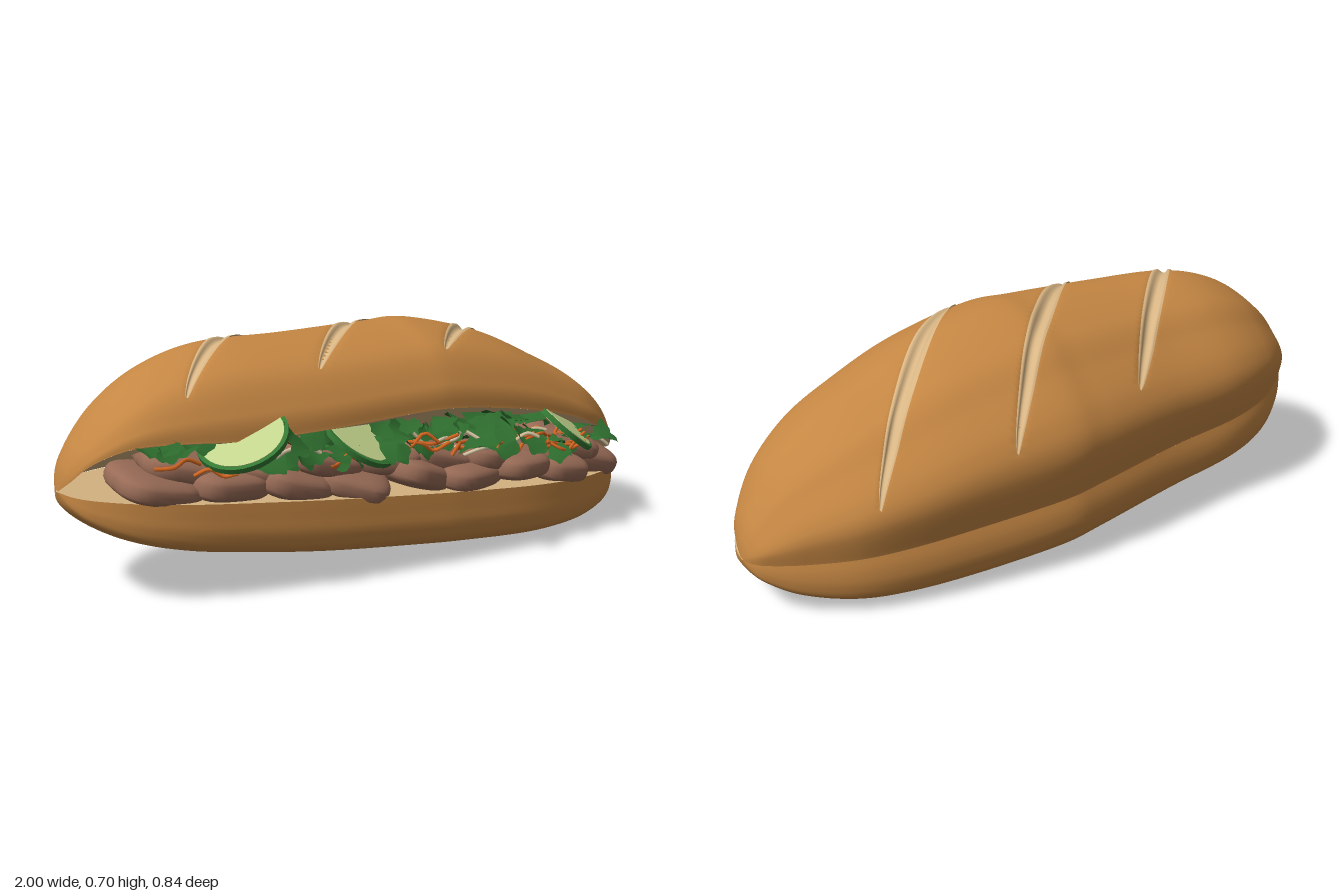
import * as THREE from 'three';

const mat = (name, color, extra = {}) => Object.assign(new THREE.MeshStandardMaterial({ color, ...extra }), { name });
const crust = mat('crust', 0xc48643);
const crumb = mat('crumb', 0xd8b584, { side: THREE.DoubleSide });
const meat = mat('meat', 0x986b56);
const herb = mat('herb', 0x2c692c, { side: THREE.DoubleSide });
const skin = mat('cucumber skin', 0x347a34);
const flesh = mat('cucumber flesh', 0xc4d68e);
const carrot = mat('carrot', 0xdb6a22);
const radish = mat('radish', 0xd9c9a6);

// Loaf stations: x, lip z, back z, lip y, crown y, base front z, base bottom y
const stations = [
  [-1, .025, .015, .306, .308, .025, .304], [-.985, .08, -.04, .34, .375, .1, .262],
  [-.94, .14, -.12, .395, .45, .16, .215], [-.85, .195, -.205, .435, .545, .22, .165],
  [-.72, .235, -.285, .44, .625, .265, .125], [-.55, .27, -.335, .435, .672, .295, .095],
  [-.3, .3, -.355, .445, .68, .325, .062], [0, .305, -.4, .46, .69, .342, .033],
  [.15, .3, -.415, .455, .692, .345, .02], [.4, .275, -.39, .42, .635, .335, .003],
  [.6, .245, -.36, .375, .55, .295, 0], [.75, .21, -.315, .32, .475, .235, .008],
  [.88, .14, -.235, .25, .375, .155, .035], [.96, .055, -.165, .195, .265, .06, .08],
  [.99, -.02, -.12, .17, .2, -.015, .115], [1, -.07, -.08, .146, .148, -.07, .144],
];
const { clamp, lerp } = THREE.MathUtils;

// Catmull-Rom through evenly spaced values, t in 0..1
function spline(v, t) {
  const n = v.length - 1, f = clamp(t, 0, 1) * n, i = Math.min(Math.floor(f), n - 1), k = f - i;
  const b = v[i], c = v[i + 1], a = v[Math.max(i - 1, 0)], d = v[Math.min(i + 2, n)];
  return b + .5 * k * (c - a + k * (2 * a - 5 * b + 4 * c - d + k * (3 * (b - c) + d - a)));
}
const columns = stations[0].map((_, c) => stations.map((r) => r[c]));
const row = (t) => columns.map((c) => spline(c, t));
const seam = (x) => .225 - .08 * x;

// Finds where a monotone function crosses a value
function solve(f, target, lo, hi, rising) {
  for (let i = 0; i < 30; i++) {
    const m = (lo + hi) / 2;
    if ((f(m) < target) === rising) lo = m; else hi = m;
  }
  return (lo + hi) / 2;
}
const stationAt = (x) => solve((t) => spline(columns[0], t), x, 0, 1, true);

// Diagonal slashes on the crown: start and end in x, z
const slashes = [[-.7, .2, -.14, -.345], [-.31, .235, .32, -.39], [.13, .225, .71, -.325]]
  .map(([x0, z0, x1, z1]) => {
    const len = Math.hypot(x1 - x0, z1 - z0);
    return { x0, z0, len, dx: (x1 - x0) / len, dz: (z1 - z0) / len };
  });
const slashWidth = (k) => .029 * Math.sqrt(Math.max(0, Math.sin(Math.PI * k)));
// The groove is narrower than the pale lining, so the lining covers its rims
function grooveDepth(x, z) {
  let depth = 0;
  for (const s of slashes) {
    const px = x - s.x0, pz = z - s.z0;
    const k = (px * s.dx + pz * s.dz) / s.len, w = .66 * slashWidth(k);
    if (k <= 0 || k >= 1 || w < .001) continue;
    const d = Math.abs(px * s.dz - pz * s.dx) / w;
    depth = Math.max(depth, .75 * w * Math.max(0, 1 - d * d));
  }
  return depth;
}

// Crown crust section, running from the front lip over the top to the back seam
const crownU = [1, .98, .86, .58, .3, .155, .04, 0, .04];
const crownZ = (r, s) => lerp(r[2], r[1], spline(crownU, s));
function crown(t, s, lift = 0, groove = 1.4) {
  const r = row(t), x = r[0], ys = seam(x), f = (r[3] - ys) / (r[4] - ys), g = 1 - f;
  const v = spline([f, f + .3 * g, f + .75 * g, 1, .88, .69, .49, .29, 0], s);
  const z = crownZ(r, s), y = ys + v * (r[4] - ys);
  const out = lift - (s < .86 ? groove * grooveDepth(x, z) : 0);
  const cz = (r[1] + r[2]) / 2, cy = ys + .3 * (r[4] - ys), l = Math.hypot(z - cz, y - cy) || 1;
  return [x, y + out * (y - cy) / l, z + out * (z - cz) / l];
}

// Base crust section, running from the back seam under the loaf to the front edge
const baseU = [-.97, -1, -.99, -.89, -.5, 0, .5, .89, .99, 1, 1];
const baseV = [1, .75, .45, .17, .04, 0, .04, .17, .45, .75, 1];
function base(t, s) {
  const r = row(t), x = r[0], back = lerp(r[2], r[1], .03);
  return [x, lerp(r[6], seam(x), spline(baseV, s)), lerp(back, r[5], (spline(baseU, s) + 1) / 2)];
}

// Surface from a function of two parameters
function sheet(name, fn, nu, nv, material) {
  const pos = [], idx = [];
  for (let i = 0; i <= nu; i++) for (let j = 0; j <= nv; j++) pos.push(...fn(i / nu, j / nv));
  for (let i = 0; i < nu; i++) for (let j = 0; j < nv; j++) {
    const a = i * (nv + 1) + j, b = a + nv + 1;
    idx.push(a, b, a + 1, b, b + 1, a + 1);
  }
  const geo = new THREE.BufferGeometry();
  geo.setAttribute('position', new THREE.Float32BufferAttribute(pos, 3));
  geo.setIndex(idx);
  geo.computeVertexNormals();
  return named(name, new THREE.Mesh(geo, material));
}
const named = (name, o) => Object.assign(o, { name });
const between = (p, q, k) => p.map((v, i) => lerp(v, q[i], k));

export function createModel() {
  const model = named('filledRoll', new THREE.Group());
  let seed = 11;
  const rnd = (a = 0, b = 1) => {
    seed = (seed * 16807) % 2147483647;
    return a + (b - a) * seed / 2147483647;
  };

  // Bread halves with their cut faces
  model.add(
    sheet('topCrust', (t, s) => crown(t, s), 320, 96, crust),
    sheet('topCutFace', (t, s) => between(crown(t, 1), crown(t, 0), s), 90, 4, crumb),
    sheet('bottomCrust', base, 90, 40, crust),
    sheet('bottomCutFace', (t, s) => between(base(t, 1), base(t, 0), s), 90, 4, crumb),
  );

  // Pale crumb lining the slashes
  for (const s of slashes) {
    model.add(sheet('slash', (k, j) => {
      const kk = lerp(.005, .995, k), o = (1 - 2 * j) * slashWidth(kk);
      const x = s.x0 + s.dx * s.len * kk - s.dz * o, z = s.z0 + s.dz * s.len * kk + s.dx * o;
      const t = stationAt(x), r = row(t);
      return crown(t, solve((q) => crownZ(r, q), z, 0, .86, false), .0035, 1);
    }, 60, 12, crumb));
  }

  // Meat slices: rounded slabs, a row along the edge and a row resting on it
  const slab = new THREE.SphereGeometry(1, 24, 16);
  const p = slab.attributes.position;
  const soft = (v) => Math.sign(v) * Math.abs(v) ** .65;
  for (let i = 0; i < p.count; i++) p.setXYZ(i, soft(p.getX(i)), soft(p.getY(i)), soft(p.getZ(i)));
  slab.computeVertexNormals();
  for (let layer = 0; layer < 2; layer++) for (let i = 0; i < 9 - layer; i++) {
    const x = -.77 + i * .19 + layer * .1, r = row(stationAt(x));
    const m = named('meatSlice', new THREE.Mesh(slab, meat));
    m.position.set(x, seam(x) + .045 + layer * .05 + rnd(-.012, .008), r[5] - .115 - layer * .035 + rnd(-.012, .008));
    m.scale.set(rnd(.115, .145), rnd(.04, .047), rnd(.11, .125));
    m.rotation.set(rnd(.05, .3), rnd(-.4, .4), rnd(-.35, -.05));
    model.add(m);
  }

  const fillY = (x) => .4 - .03 * x - .12 * Math.max(x, 0) ** 2;
  const fillZ = (x) => .325 - .11 * x * x;

  // Cucumber slices, lying tilted on the filling
  const slices = [
    [-.56, .44, .25, -.42, .85, .32], [-.2, .408, .258, .34, .8, .5], [.59, .352, .222, .53, .78, .4]];
  for (const [x, y, z, nx, ny, nz] of slices) {
    const slice = named('cucumberSlice', new THREE.Group());
    slice.add(named('cucumberSkin', new THREE.Mesh(new THREE.CylinderGeometry(.128, .128, .016, 36), skin)));
    slice.add(named('cucumberFlesh', new THREE.Mesh(new THREE.CylinderGeometry(.116, .116, .02, 36), flesh)));
    slice.position.set(x, y, z);
    slice.quaternion.setFromUnitVectors(new THREE.Vector3(0, 1, 0), new THREE.Vector3(nx, ny, nz).normalize());
    model.add(slice);
  }

  // Herb leaves: lobed, slightly curled, tucked under the cucumber where they meet
  const outline = Array.from({ length: 40 }, (_, i) => {
    const a = i / 40 * Math.PI * 2, r = .058 * (.85 + .17 * Math.cos(3 * a) + .09 * Math.cos(8 * a));
    return new THREE.Vector2(r * Math.cos(a), r * Math.sin(a));
  });
  const leaf = new THREE.ShapeGeometry(new THREE.Shape(outline));
  const lp = leaf.attributes.position;
  for (let i = 0; i < lp.count; i++) lp.setZ(i, 5 * (lp.getX(i) ** 2 - lp.getY(i) ** 2));
  leaf.computeVertexNormals();
  for (let i = 0; i < 52; i++) {
    const x = lerp(-.82, .78, (i + rnd()) / 52);
    const tucked = slices.some((s) => Math.abs(s[0] - x) < .11) ? .05 : 0;
    const m = named('herbLeaf', new THREE.Mesh(leaf, herb));
    m.position.set(x, fillY(x) + rnd(-.035, .03) - tucked, fillZ(x) - rnd(-.025, .1) - tucked * .4);
    m.rotation.set(rnd(-1.6, -.7), rnd(-.6, .6), rnd(0, 6.28));
    m.scale.setScalar(rnd(.8, 1.3));
    model.add(m);
  }

  // Shredded carrot and radish
  for (let i = 0; i < 40; i++) {
    const x = rnd(-.8, .75), y = fillY(x) - rnd(.01, .065), z = fillZ(x) - rnd(-.01, .08);
    const turn = rnd(-.9, .9), pts = [-1, -.3, .4, 1].map((k) => new THREE.Vector3(
      x + k * .07 * Math.cos(turn), y + rnd(-.025, .025), z + k * .05 * Math.sin(turn) + rnd(-.02, .02)));
    const geo = new THREE.TubeGeometry(new THREE.CatmullRomCurve3(pts), 12, .0055, 5);
    model.add(i % 4 ? named('carrotShred', new THREE.Mesh(geo, carrot)) : named('radishShred', new THREE.Mesh(geo, radish)));
  }
  return model;
}
